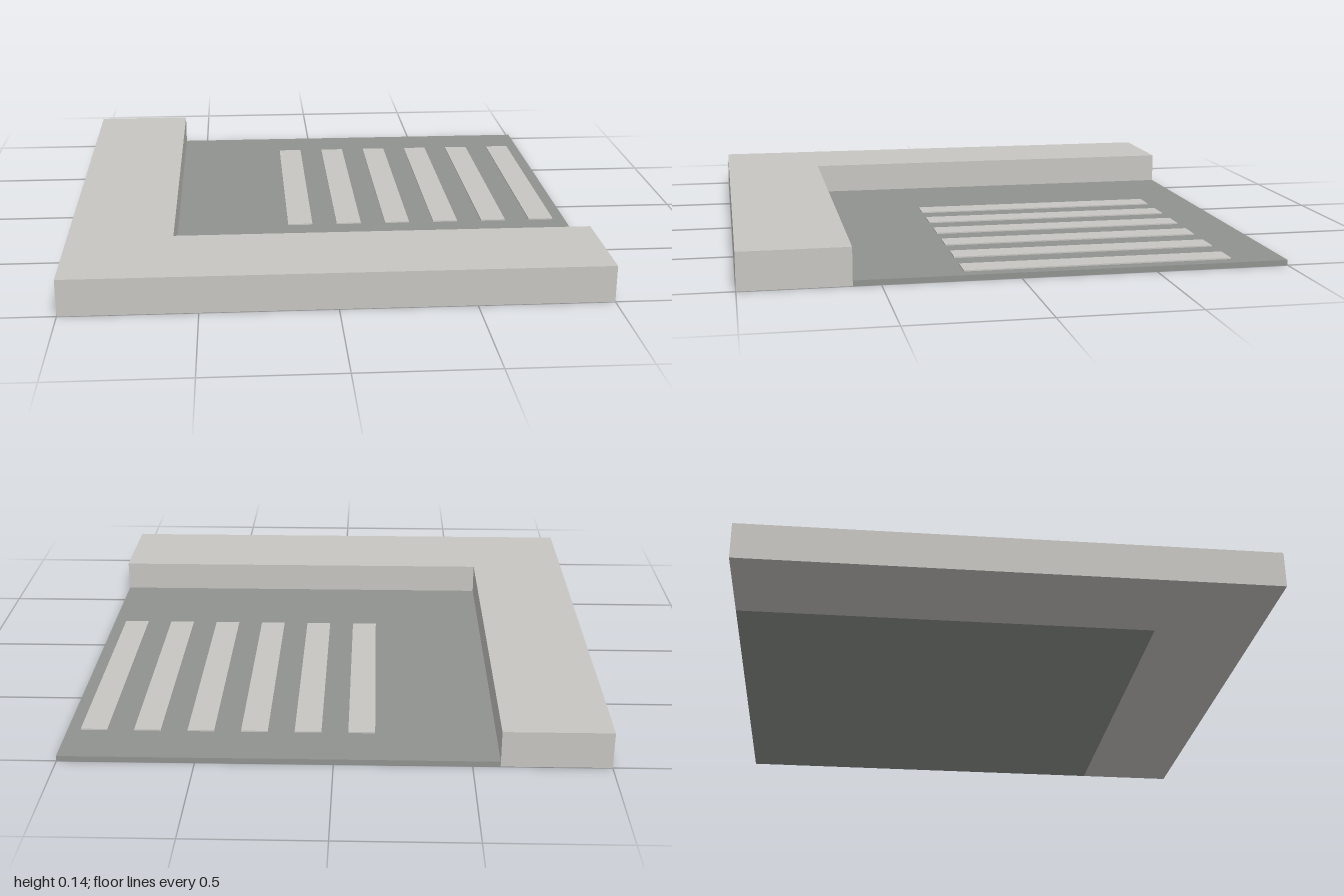
import * as THREE from 'three';

export function createModel() {
  const group = new THREE.Group();
  const paving = new THREE.MeshStandardMaterial({ color: 0xc8c6c2 });
  paving.name = 'pale paving';
  const asphalt = new THREE.MeshStandardMaterial({ color: 0x90938f });
  asphalt.name = 'grey asphalt';

  const add = (name, geometry, material, x = 0, y = 0, z = 0) => {
    const mesh = new THREE.Mesh(geometry, material);
    mesh.name = name;
    mesh.position.set(x, y, z);
    group.add(mesh);
  };

  // L-shaped raised pavement along the right and front edges (shape y is -z)
  const corner = [[-1, -1], [1, -1], [1, -0.6], [-0.6, -0.6], [-0.6, 1], [-1, 1]];
  const outline = new THREE.Shape(corner.map(([x, y]) => new THREE.Vector2(x, y)));
  const pavement = new THREE.ExtrudeGeometry(outline, { depth: 0.14, bevelEnabled: false });
  pavement.rotateX(-Math.PI / 2);
  add('pavement', pavement, paving);

  // Thin road slab filling the inside of the L
  const roadTop = 0.02;
  add('road', new THREE.BoxGeometry(1.6, roadTop, 1.6), asphalt, 0.2, roadTop / 2, -0.2);

  // Pedestrian crossing stripes
  const stripeHeight = 0.005;
  const stripe = new THREE.BoxGeometry(0.1, stripeHeight, 1);
  for (let i = 0; i < 6; i++) {
    add(`crossingStripe${i + 1}`, stripe, paving, -0.1 + i * 0.2, roadTop + stripeHeight / 2, -0.3);
  }

  return group;
}
